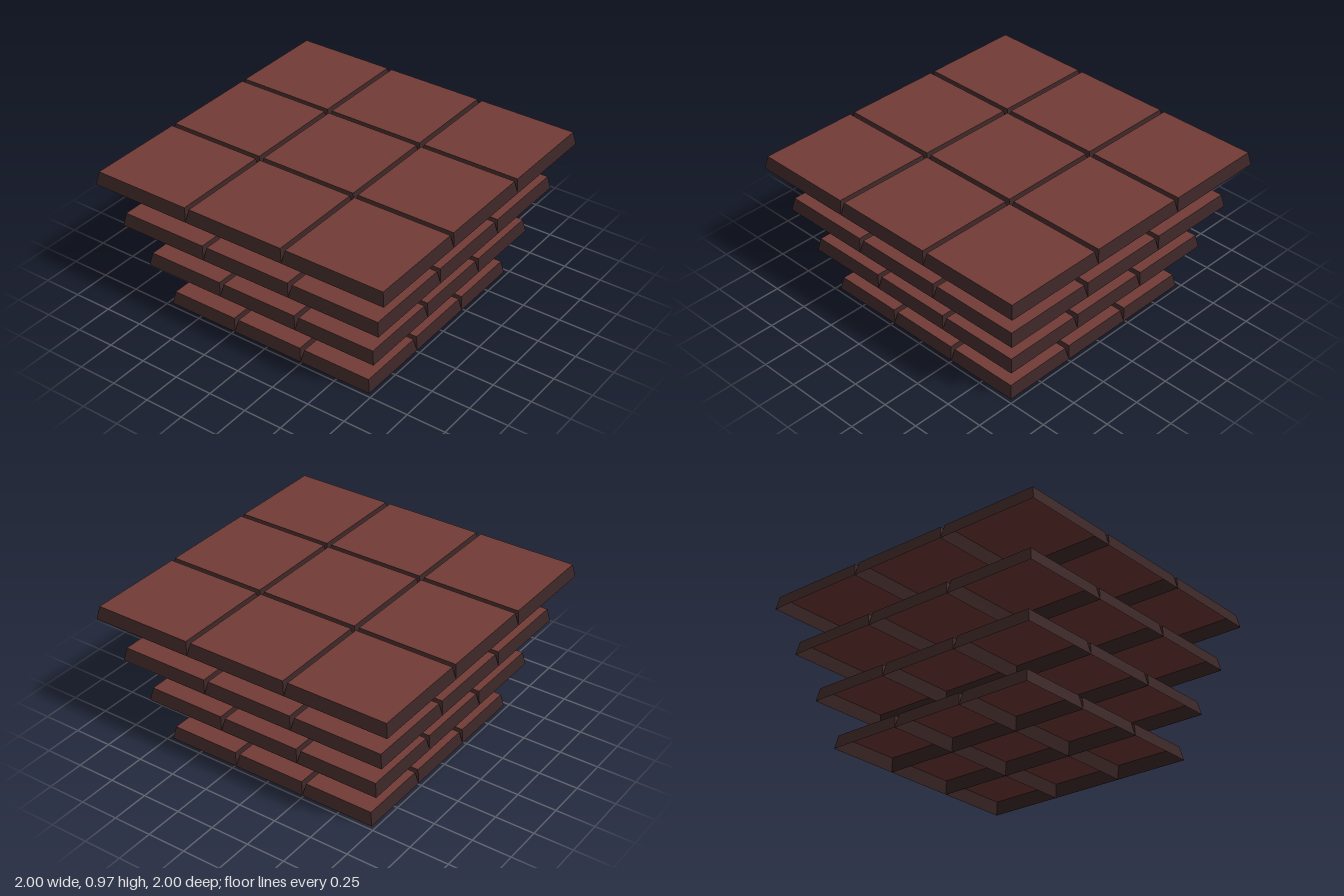
import * as THREE from 'three';

const tileTop = new THREE.MeshStandardMaterial({ color: 0x723b36, side: THREE.DoubleSide });
tileTop.name = 'reddish brown';
const tileSide = new THREE.MeshStandardMaterial({ color: 0x3b2525, side: THREE.DoubleSide, flatShading: true });
tileSide.name = 'dark brown';

const HEIGHT = 0.083;
const BEVEL = 0.016;

// Layers from bottom to top: base height and half width
const LAYERS = [
  [0, 0.725],
  [0.297, 0.81],
  [0.594, 0.905],
  [0.891, 1],
];

// Four sloping walls, open above and below
function wallGeometry(half) {
  return new THREE.CylinderGeometry((half - BEVEL) * Math.SQRT2, half * Math.SQRT2, HEIGHT, 4, 1, true)
    .rotateY(Math.PI / 4)
    .translate(0, HEIGHT / 2, 0)
    .toNonIndexed();
}

// Flat lid of a tile, its underside visible from below
function lidGeometry(half) {
  const side = (half - BEVEL) * 2;
  return new THREE.PlaneGeometry(side, side).rotateX(-Math.PI / 2).translate(0, HEIGHT, 0);
}

export function createModel() {
  const model = new THREE.Group();
  model.name = 'tiledLayers';
  LAYERS.forEach(([y, halfWidth], n) => {
    const layer = new THREE.Group();
    layer.name = `layer${n + 1}`;
    layer.position.y = y;
    const half = halfWidth / 3;
    const walls = wallGeometry(half);
    walls.computeVertexNormals();
    const lid = lidGeometry(half);
    // Three by three tiles touching at their bottom edges
    for (let i = -1; i <= 1; i++) {
      for (let j = -1; j <= 1; j++) {
        const tile = new THREE.Group();
        tile.name = 'tile';
        const wallMesh = new THREE.Mesh(walls, tileSide);
        wallMesh.name = 'tileWalls';
        const lidMesh = new THREE.Mesh(lid, tileTop);
        lidMesh.name = 'tileLid';
        tile.add(wallMesh, lidMesh);
        tile.position.set(i * half * 2, 0, j * half * 2);
        layer.add(tile);
      }
    }
    model.add(layer);
  });
  return model;
}
